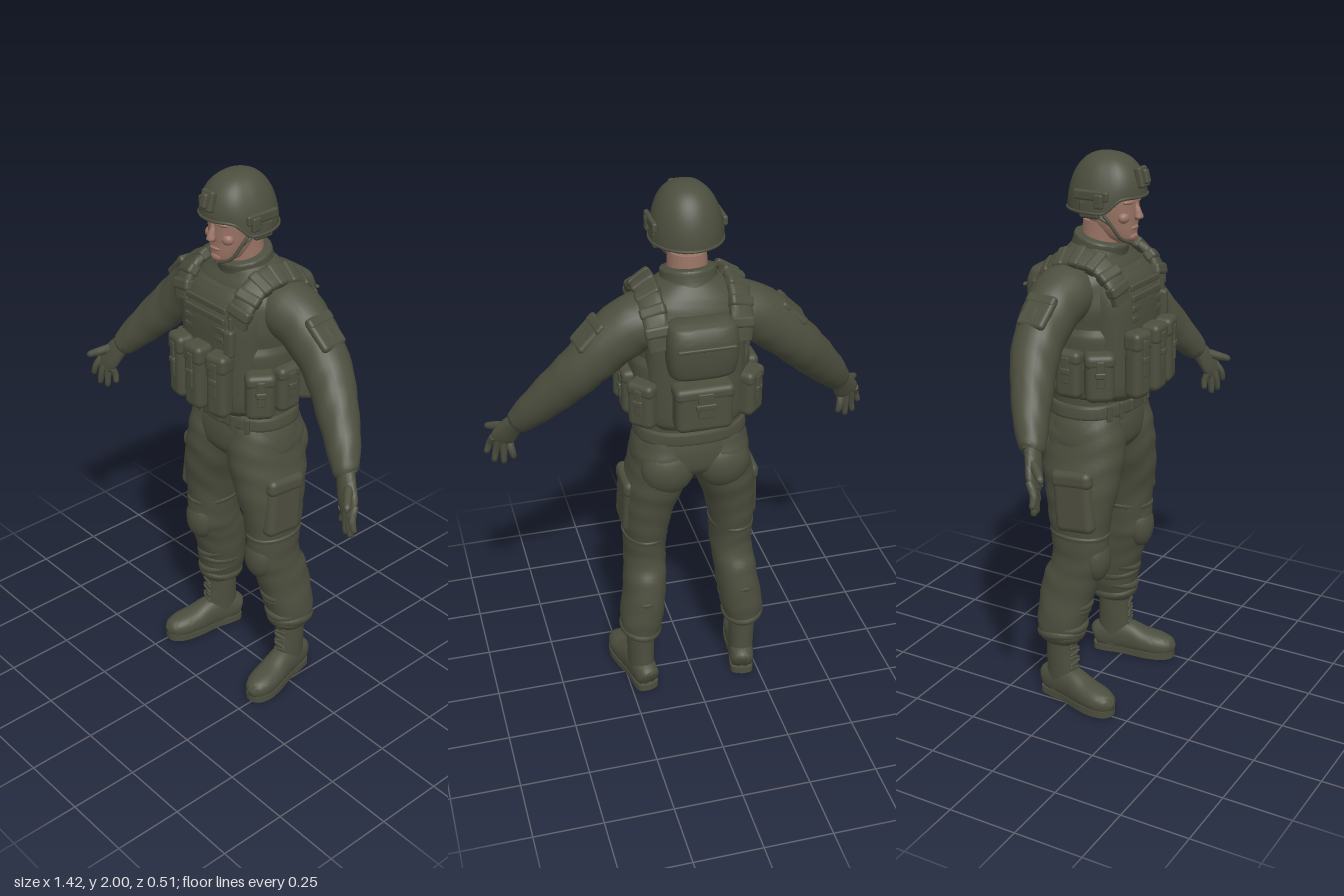
import * as THREE from 'three';
import { toCreasedNormals } from 'three/addons/utils/BufferGeometryUtils.js';
import { RoundedBoxGeometry } from 'three/addons/geometries/RoundedBoxGeometry.js';

const V3 = (x, y, z) => new THREE.Vector3(x, y, z);

// Smooth loft through sections [x, y, z, radiusU, radiusV]; flat keeps the rings horizontal
function loft(secs, { flat = false, ref = V3(0, 0, 1), p = 2, n = 28, sub = 5, fold = 0, freq = 40 } = {}) {
  const path = new THREE.CatmullRomCurve3(secs.map(s => V3(s[0], s[1], s[2])));
  const size = new THREE.CatmullRomCurve3(secs.map(s => V3(s[3], s[4], 0)), false, 'catmullrom', 0.4);
  const rings = (secs.length - 1) * sub, pos = [], idx = [];
  const pw = c => Math.sign(c) * Math.abs(c) ** (2 / p);
  for (let i = 0; i <= rings; i++) {
    const t = i / rings, c = path.getPoint(t), r = size.getPoint(t);
    const T = flat ? V3(0, 1, 0) : path.getTangent(t);
    const U = ref.clone().cross(T).normalize(), V = T.clone().cross(U);
    for (let j = 0; j < n; j++) {
      const q = (j / n) * Math.PI * 2;
      const k = 1 + fold * Math.sin(t * freq + 3 * Math.sin(q + t * 3) + 1.7 * Math.cos(2 * q));
      const v = c.clone().addScaledVector(U, r.x * k * pw(Math.cos(q))).addScaledVector(V, r.y * k * pw(Math.sin(q)));
      pos.push(v.x, v.y, v.z);
    }
  }
  for (let i = 0; i < rings; i++) for (let j = 0; j < n; j++) {
    const a = i * n + j, b = i * n + (j + 1) % n;
    idx.push(a, b, b + n, a, b + n, a + n);
  }
  const s = secs[0], e = secs[secs.length - 1], m = pos.length / 3, last = rings * n;
  pos.push(s[0], s[1], s[2], e[0], e[1], e[2]);
  for (let j = 0; j < n; j++) {
    const k = (j + 1) % n;
    idx.push(m, k, j, m + 1, last + j, last + k);
  }
  const g = new THREE.BufferGeometry();
  g.setAttribute('position', new THREE.Float32BufferAttribute(pos, 3));
  g.setIndex(idx);
  return toCreasedNormals(g, 0.9);
}

const place = (g, x, y, z, ry = 0, rx = 0, rz = 0) => g.rotateX(rx).rotateZ(rz).rotateY(ry).translate(x, y, z);
const box = (w, h, d, r = 0.015) => new RoundedBoxGeometry(w, h, d, 3, Math.min(r, w / 2.1, h / 2.1, d / 2.1));
const ball = (a, b, c) => new THREE.SphereGeometry(1, 20, 14).scale(a, b, c);

// Mirror a geometry in x, swapping corners so faces still point outwards
function mirrored(geo) {
  const g = geo.index ? geo.toNonIndexed() : geo.clone();
  g.scale(-1, 1, 1);
  for (const a of Object.values(g.attributes)) for (let i = 0; i < a.count; i += 3) for (let k = 0; k < a.itemSize; k++) {
    const v = a.getComponent(i + 1, k);
    a.setComponent(i + 1, k, a.getComponent(i + 2, k));
    a.setComponent(i + 2, k, v);
  }
  return g;
}

export function createModel() {
  const root = new THREE.Group();
  const mat = (name, color) => Object.assign(new THREE.MeshStandardMaterial({ color }), { name });
  const olive = mat('olive', 0x4c4e3e), skin = mat('skin', 0x9a7465);
  olive.side = THREE.DoubleSide;
  const add = (name, geo, m = olive) => {
    const mesh = new THREE.Mesh(geo, m);
    mesh.name = name;
    root.add(mesh);
  };
  const pair = (name, geo, m) => { add(name + 'Left', geo, m); add(name + 'Right', mirrored(geo), m); };

  // Head and neck
  add('head', loft([[0, 1.70, .09, .025, .03], [0, 1.72, .073, .05, .06], [0, 1.76, .052, .066, .083],
    [0, 1.80, .045, .073, .092], [0, 1.86, .037, .077, .1], [0, 1.93, .03, .06, .08]], { flat: true, p: 2.2 }), skin);
  add('neck', loft([[0, 1.6, -.01, .075, .08], [0, 1.68, .005, .07, .073], [0, 1.77, .015, .066, .075]], { flat: true }), skin);
  add('nose', loft([[0, 1.78, .14, .01, .008], [0, 1.788, .146, .016, .016], [0, 1.81, .141, .011, .014], [0, 1.84, .132, .009, .009]],
    { flat: true, n: 14 }), skin);
  add('lips', ball(.024, .009, .012).translate(0, 1.753, .128), skin);
  add('chin', ball(.028, .018, .02).translate(0, 1.722, .118), skin);
  add('brow', ball(.055, .013, .02).translate(0, 1.842, .119), skin);
  pair('cheek', ball(.024, .02, .02).translate(.04, 1.79, .11), skin);
  pair('ear', ball(.012, .034, .02).translate(.077, 1.815, .02), skin);

  // Helmet: a dome whose brim is raised over the face
  const brim = z => 1.812 + .05 * THREE.MathUtils.smoothstep(z, .3, .8);
  const dome = new THREE.SphereGeometry(1, 48, 20, 0, Math.PI * 2, 0, Math.PI / 2), dp = dome.attributes.position;
  for (let i = 0; i < dp.count; i++) {
    const x = dp.getX(i), y = dp.getY(i), z = dp.getZ(i), s = Math.max(Math.hypot(x, z), 1e-4), k = s ** -.18, b = brim(z / s);
    dp.setXYZ(i, x * k * .124, b + (2 - b) * y, .025 + z * k * .138);
  }
  dome.computeVertexNormals();
  add('helmetShell', dome);
  const rim = [...Array(32)].map((_, i) => {
    const q = i / 16 * Math.PI;
    return V3(.124 * Math.sin(q), brim(Math.cos(q)), .025 + .138 * Math.cos(q));
  });
  add('helmetRim', new THREE.TubeGeometry(new THREE.CatmullRomCurve3(rim, true), 96, .005, 8, true));
  add('frontMount', place(box(.056, .07, .025, .008), 0, 1.925, .157, 0, -.25));
  add('mountClip', place(box(.028, .05, .025, .008), 0, 1.928, .17, 0, -.25));
  pair('helmetRail', place(box(.018, .035, .13, .008), .119, 1.872, .03));
  pair('railClip', place(box(.02, .05, .035, .008), .123, 1.855, .06));
  pair('earGuard', place(box(.022, .06, .075, .01), .111, 1.822, .02));
  pair('chinStrap', new THREE.TubeGeometry(new THREE.CatmullRomCurve3([V3(.088, 1.83, .035), V3(.076, 1.775, .075),
    V3(.05, 1.72, .105), V3(0, 1.697, .12)]), 20, .006, 8));
  pair('rearStrap', new THREE.TubeGeometry(new THREE.CatmullRomCurve3([V3(.085, 1.83, -.03), V3(.08, 1.8, .02), V3(.074, 1.77, .075)]), 12, .005, 8));

  // Jacket
  add('jacket', loft([[0, 1.08, -.01, .19, .14], [0, 1.2, -.01, .19, .14], [0, 1.4, -.005, .2, .145], [0, 1.5, 0, .205, .155],
    [0, 1.58, -.01, .2, .145], [0, 1.625, -.015, .18, .125], [0, 1.66, -.015, .135, .105], [0, 1.69, -.01, .09, .085]],
  { flat: true, p: 2.3, n: 40, fold: .006 }));
  add('collar', place(loft([[0, -.06, 0, .115, .11], [0, 0, 0, .098, .098], [0, .035, 0, .094, .096], [0, .04, 0, .075, .075]],
    { flat: true }), 0, 1.675, -.002, 0, .22));
  pair('sleeve', loft([[.1, 1.555, -.03, .095, .11], [.2, 1.54, -.035, .1, .105], [.29, 1.48, -.04, .093, .092], [.38, 1.393, -.03, .083, .083],
    [.45, 1.315, 0, .076, .073], [.53, 1.223, .043, .063, .06], [.59, 1.15, .083, .047, .043], [.6, 1.14, .087, .038, .034]],
    { fold: .018, freq: 48 }));
  pair('sleevePocket', place(box(.03, .12, .11, .014), .356, 1.523, -.037, .12, 0, .8));
  pair('pocketFlap', place(box(.03, .04, .115, .012), .325, 1.556, -.037, .12, 0, .8));

  // Gloved hands
  pair('palm', loft([[.585, 1.16, .08, .034, .03], [.61, 1.125, .1, .04, .025], [.64, 1.075, .12, .046, .02], [.658, 1.045, .132, .036, .013]], { n: 20 }));
  [[.622, 1.045, .61, .985, .115], [.641, 1.05, .645, .96, .13], [.659, 1.058, .678, .965, .14], [.675, 1.074, .702, 1.0, .15]].forEach(([x, y, tx, ty, tz], i) =>
    pair('finger' + (i + 1), loft([[x, y, .125, .015, .014], [(x + tx) / 2, (y + ty) / 2, tz - .002, .013, .013],
      [tx, ty, tz, .01, .01], [tx + (tx - x) * .05, ty - .004, tz, .004, .004]], { n: 12, sub: 3 })));
  pair('thumb', loft([[.625, 1.125, .1, .02, .018], [.662, 1.107, .145, .016, .015], [.69, 1.093, .175, .012, .011], [.696, 1.09, .182, .004, .004]], { n: 12, sub: 3 }));

  // Vest: waistband, front and back panels
  add('vestBand', loft([[0, 1.175, -.005, .185, .145], [0, 1.19, -.005, .205, .158], [0, 1.3, -.003, .208, .162],
    [0, 1.4, 0, .21, .163], [0, 1.43, 0, .2, .15]], { flat: true, p: 2.5, n: 40 }));
  const panel = (z, d) => loft([[0, 1.17, z, .14, d * .85], [0, 1.2, z, .165, d], [0, 1.44, z, .172, d * 1.04], [0, 1.53, z, .17, d],
    [0, 1.59, z * .85, .15, d * .88], [0, 1.62, z * .75, .12, d * .75]], { flat: true, p: 2.7, n: 40 });
  add('frontPanel', panel(.09, .092));
  add('backPanel', panel(-.09, .083));
  for (let i = 0; i < 4; i++) add('chestWebbing' + (i + 1), box(.2, .022, .012, .005).translate(0, 1.46 + i * .036, i < 3 ? .178 : .172));
  add('radio', place(box(.038, .1, .032, .012), .125, 1.465, .178, .25));
  add('radioKnob', new THREE.CylinderGeometry(.009, .009, .05, 12).translate(.125, 1.53, .172));

  // Padded shoulder straps, tilted with the slope of the shoulders, with cross bands
  const slope = V3(.84, -.54, 0);
  const strapPath = [[.135, 1.53, .155], [.148, 1.59, .14], [.15, 1.645, .085], [.153, 1.665, 0], [.152, 1.645, -.08], [.145, 1.58, -.145], [.135, 1.5, -.165]];
  pair('shoulderStrap', loft(strapPath.map(p => [...p, .017, .042]), { ref: slope, p: 3.5 }));
  const strapCurve = new THREE.CatmullRomCurve3(strapPath.map(p => V3(...p)));
  for (let i = 1; i < 8; i++) {
    const T = strapCurve.getTangent(i / 8), U = slope.clone().cross(T).normalize(), V = T.clone().cross(U);
    const m = new THREE.Matrix4().makeBasis(V, T, V.clone().cross(T)).setPosition(strapCurve.getPoint(i / 8));
    pair('strapBand' + i, box(.09, .042, .042, .012).applyMatrix4(m));
  }

  // Pouches, each a body with flap, pull strap and buckle
  const pouch = (w, h, d, x, y, z, ry) => [['Body', box(w, h, d, .025)], ['Flap', box(w * 1.04, h * .3, d * 1.06, .02).translate(0, h * .36, 0)],
    ['Strap', box(w * .28, h * .55, .012, .004).translate(0, h * .12, d / 2)], ['Buckle', box(w * .36, .022, .014, .005).translate(0, h * .1, d / 2 + .003)]]
    .map(([n, g]) => [n, place(g, x, y, z, ry)]);
  const addPouch = (name, put, ...a) => pouch(...a).forEach(([n, g]) => put(name + n, g));
  addPouch('centrePouch', add, .086, .24, .07, 0, 1.31, .21, 0);
  addPouch('magazinePouch', pair, .084, .235, .066, .1, 1.308, .2, .2);
  addPouch('sidePouch', pair, .1, .17, .08, .195, 1.275, .105, .95);
  addPouch('hipPouch', pair, .095, .17, .06, .212, 1.275, 0, Math.PI / 2);
  addPouch('rearPouch', pair, .1, .17, .075, .185, 1.275, -.115, 2.35);
  addPouch('backPouch', add, .2, .17, .085, 0, 1.285, -.195, Math.PI);
  add('backPack', loft([[0, 1.395, -.17, .09, .045], [0, 1.41, -.172, .112, .066], [0, 1.47, -.175, .122, .076], [0, 1.54, -.175, .122, .078],
    [0, 1.585, -.172, .112, .064], [0, 1.6, -.168, .09, .04]], { flat: true, p: 3.2, n: 40 }));
  add('backPackSeam', box(.2, .012, .012, .005).translate(0, 1.525, -.251));

  // Belt and trousers
  add('belt', loft([[0, 1.1, -.01, .19, .14], [0, 1.105, -.01, .201, .148], [0, 1.15, -.01, .196, .146], [0, 1.155, -.01, .18, .13]], { flat: true, p: 2.4, n: 40 }));
  add('beltBuckle', box(.07, .045, .016, .007).translate(0, 1.128, .138));
  for (const x of [.085, .14]) pair('beltLoop', place(box(.02, .06, .012, .005), x, 1.125, x > .1 ? .114 : .132, x * 3));
  add('trouserSeat', loft([[0, .935, -.01, .07, .07], [0, .96, -.01, .17, .12], [0, 1.0, -.01, .212, .147], [0, 1.06, -.01, .208, .15],
    [0, 1.12, -.01, .19, .14]], { flat: true, p: 2.3, n: 40 }));
  pair('trouserLeg', loft([[.2, .235, -.05, .058, .066], [.2, .255, -.05, .07, .085], [.194, .32, -.05, .08, .092], [.18, .42, -.036, .078, .102],
    [.172, .5, -.017, .077, .106], [.166, .56, .008, .076, .105], [.165, .63, .01, .077, .106], [.16, .72, .005, .084, .116],
    [.148, .81, .005, .095, .132], [.126, .9, -.002, .11, .147], [.108, .98, -.006, .11, .154], [.102, 1.05, -.01, .105, .148], [.095, 1.11, -.01, .09, .13]],
    { flat: true, p: 2.2, n: 36, fold: .013, freq: 70 }));
  pair('buttock', ball(.098, .1, .07).translate(.1, .99, -.103));
  for (let i = 0; i < 4; i++) pair('ankleFold' + (i + 1), place(new THREE.TorusGeometry(1, .2, 10, 32).rotateX(Math.PI / 2).scale(.067, .09, .078 + i * .003),
    .2 - i * .006, .268 + i * .045, -.05 + i * .004, 0, i % 2 ? .15 : -.12, i % 2 ? -.12 : .14));
  pair('kneePad', ball(.06, .085, .045).translate(.165, .575, .08));
  pair('kneeBand', loft([[.165, .655, .008, .07, .1], [.165, .66, .008, .082, .112], [.164, .675, .008, .083, .113], [.164, .68, .008, .07, .1]], { flat: true }));
  pair('cargoPocket', place(box(.06, .215, .15, .026), .22, .8, .02, 0, -.1, .04));
  pair('cargoFlap', place(box(.064, .065, .16, .024), .219, .89, .012, 0, -.1, .04));

  // Boots, turned slightly outwards
  const boot = (name, g) => pair(name, place(g, .2, 0, -.05, .2));
  boot('bootShaft', loft([[0, .03, -.005, .044, .068], [0, .1, .002, .047, .066], [0, .2, 0, .05, .061], [0, .27, 0, .052, .062]], { flat: true }));
  boot('bootFoot', loft([[0, .05, -.079, .025, .03], [0, .055, -.068, .042, .048], [0, .062, -.02, .047, .062], [0, .064, .05, .048, .064],
    [0, .052, .12, .054, .05], [0, .046, .18, .053, .044], [0, .04, .224, .038, .034], [0, .036, .244, .014, .014]], { ref: V3(0, 1, 0), p: 2.3 }));
  const half = [[0, -.082], [.038, -.07], [.045, -.02], [.043, .04], [.054, .13], [.051, .19], [.032, .23]];
  const outline = [...half, [0, .243], ...half.slice(1).reverse().map(([x, z]) => [-x, z])].map(([x, z]) => new THREE.Vector2(x, -z));
  const sole = new THREE.Shape(new THREE.SplineCurve([...outline, outline[0]]).getPoints(48));
  boot('bootSole', new THREE.ExtrudeGeometry(sole, { depth: .026, bevelEnabled: false }).rotateX(-Math.PI / 2));
  for (let i = 0; i < 7; i++) boot('lace' + (i + 1), place(box(.05, .009, .01, .004), 0, .115 + i * .02, .064 - i * .0004, 0, 0, i % 2 ? .2 : -.2));
  return root;
}
